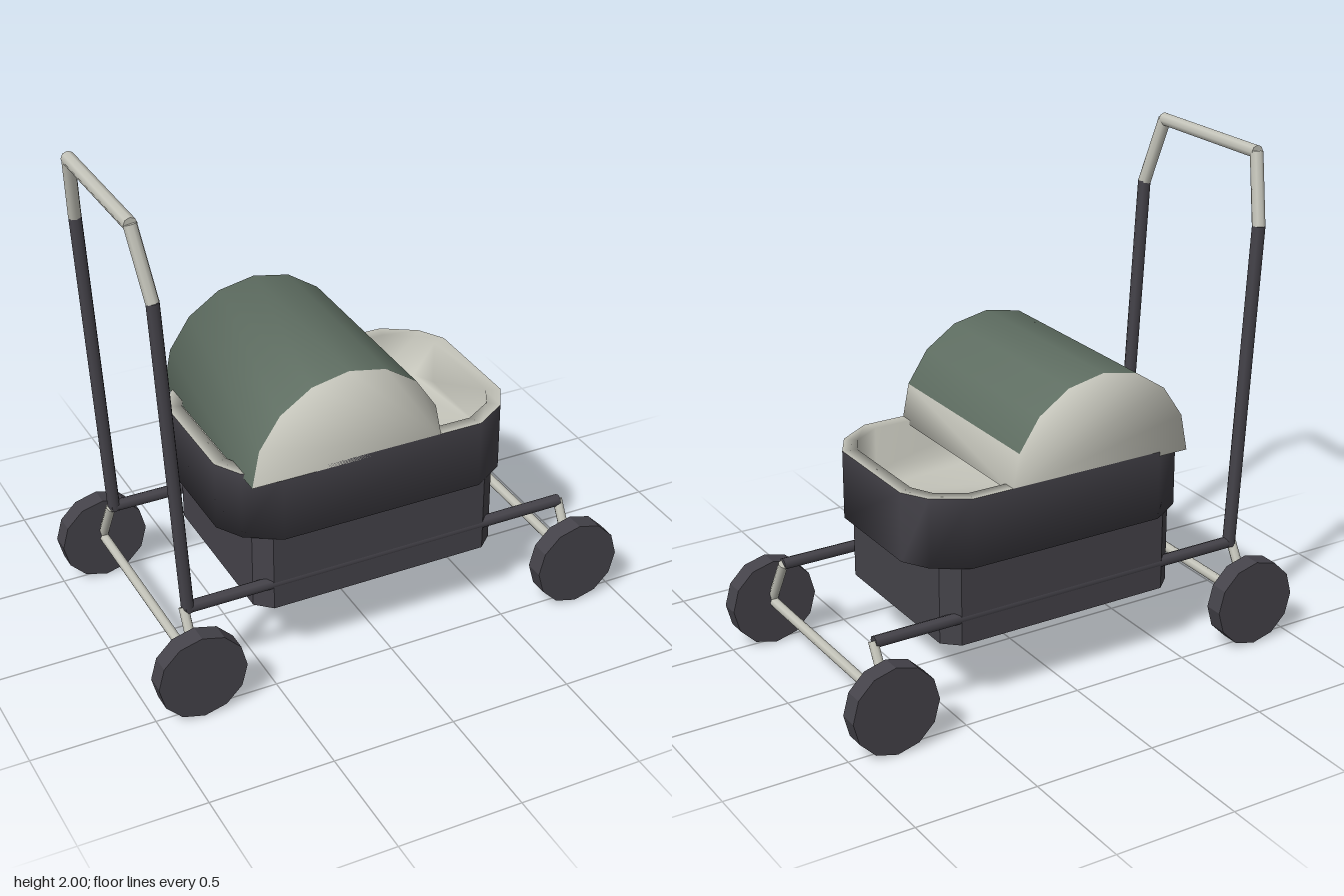
import * as THREE from 'three';

const dark = new THREE.MeshStandardMaterial({ color: 0x45434a });
const cream = new THREE.MeshStandardMaterial({ color: 0xc4c4ba });
const green = new THREE.MeshStandardMaterial({ color: 0x5f6e62 });
dark.name = 'charcoal';
cream.name = 'cream';
green.name = 'sage green';

function add(parent, name, geometry, material) {
  const mesh = new THREE.Mesh(geometry, material);
  mesh.name = name;
  parent.add(mesh);
  return mesh;
}

function flat(geometry) {
  const g = geometry.toNonIndexed();
  g.computeVertexNormals();
  return g;
}

function indexed(positions, index) {
  const g = new THREE.BufferGeometry();
  g.setAttribute('position', new THREE.Float32BufferAttribute(positions, 3));
  g.setIndex(index);
  g.computeVertexNormals();
  return g;
}

// Straight round bar between two points
function rod(parent, name, a, b, radius, material) {
  const from = new THREE.Vector3(...a), to = new THREE.Vector3(...b);
  const dir = to.clone().sub(from);
  const mesh = add(parent, name, new THREE.CylinderGeometry(radius, radius, dir.length(), 8), material);
  mesh.position.copy(from).add(to).multiplyScalar(0.5);
  mesh.quaternion.setFromUnitVectors(new THREE.Vector3(0, 1, 0), dir.normalize());
}

// Mirror one quadrant of [x, z] points into a closed outline
function outline(q) {
  const r = [...q].reverse();
  return [...q, ...r.map(([x, z]) => [-x, z]), ...q.map(([x, z]) => [-x, -z]), ...r.map(([x, z]) => [x, -z])];
}

// Skin a stack of outlines, each { points, y }
function loft(rings, capStart, capEnd) {
  const n = rings[0].points.length, pos = [], idx = [];
  rings.forEach(({ points, y }) => points.forEach(([x, z]) => pos.push(x, y, z)));
  for (let r = 0; r < rings.length - 1; r++) {
    for (let i = 0; i < n; i++) {
      const a = r * n + i, b = r * n + (i + 1) % n;
      idx.push(a, a + n, b, b, a + n, b + n);
    }
  }
  const last = (rings.length - 1) * n;
  for (let i = 1; i < n - 1; i++) {
    if (capStart) idx.push(0, i, i + 1);
    if (capEnd) idx.push(last, last + i + 1, last + i);
  }
  return indexed(pos, idx);
}

// Half-drum hood: green cover, cream ends and cream front strip
function hoodGeometry() {
  const steps = 8, n = steps + 1, pos = [], cover = [], pale = [];
  for (const z of [0.42, -0.42]) {
    for (let i = 0; i < n; i++) {
      const t = (i / steps) * Math.PI;
      pos.push(-0.15 + 0.397 * Math.cos(t), 0.865 + 0.397 * Math.sin(t), z);
    }
  }
  for (let i = 0; i < steps; i++) {
    (i === 0 ? pale : cover).push(i, i + n, i + 1, i + 1, i + n, i + n + 1);
    if (i > 0) pale.push(0, i, i + 1, n, n + i + 1, n + i);
  }
  const g = indexed(pos, [...cover, ...pale]);
  g.addGroup(0, cover.length, 0);
  g.addGroup(cover.length, pale.length, 1);
  return g;
}

export function createModel() {
  const model = new THREE.Group();
  model.name = 'babyCarriage';

  // Lower storage box with chamfered corners
  const boxOutline = outline([[0.52, 0.342], [0.457, 0.4]]);
  add(model, 'storageBox', flat(loft([{ points: boxOutline, y: 0.28 }, { points: boxOutline, y: 0.6 }], true, true)), dark);

  // Tub shell, then the pale rim and hollow lining
  const outer = outline([[0.617, 0.23], [0.555, 0.335], [0.42, 0.42]]);
  const inner = outline([[0.56, 0.21], [0.515, 0.295], [0.4, 0.365]]);
  add(model, 'tub', loft([{ points: outer, y: 0.6 }, { points: outer, y: 0.883 }], true, false), dark);
  add(model, 'tubLining', loft([
    { points: outer, y: 0.883 }, { points: inner, y: 0.883 }, { points: inner, y: 0.7 },
  ], false, true), cream);

  add(model, 'hood', hoodGeometry(), [green, cream]);

  // Frame rails and handle sides
  for (const s of [1, -1]) {
    const z = 0.38 * s;
    rod(model, 'frameRail', [-0.82, 0.388, z], [0.82, 0.388, z], 0.024, dark);
    rod(model, 'handlePost', [-0.805, 0.375, z], [-0.885, 1.705, z], 0.026, dark);
    rod(model, 'handleBend', [-0.885, 1.7, z], [-0.922, 1.975, 0.3 * s], 0.026, cream);
  }
  rod(model, 'handleGrip', [-0.922, 1.973, -0.305], [-0.922, 1.973, 0.305], 0.027, cream);

  // Axles, struts and wheels
  for (const x of [-0.82, 0.82]) {
    rod(model, 'axle', [x, 0.18, -0.5], [x, 0.18, 0.5], 0.02, cream);
    for (const s of [1, -1]) {
      rod(model, 'strut', [x, 0.39, 0.375 * s], [x, 0.18, 0.495 * s], 0.02, cream);
      const wheel = add(model, 'wheel', flat(new THREE.CylinderGeometry(0.18, 0.18, 0.078, 12)), dark);
      wheel.rotation.x = Math.PI / 2;
      wheel.position.set(x, 0.18, 0.511 * s);
    }
  }
  return model;
}
